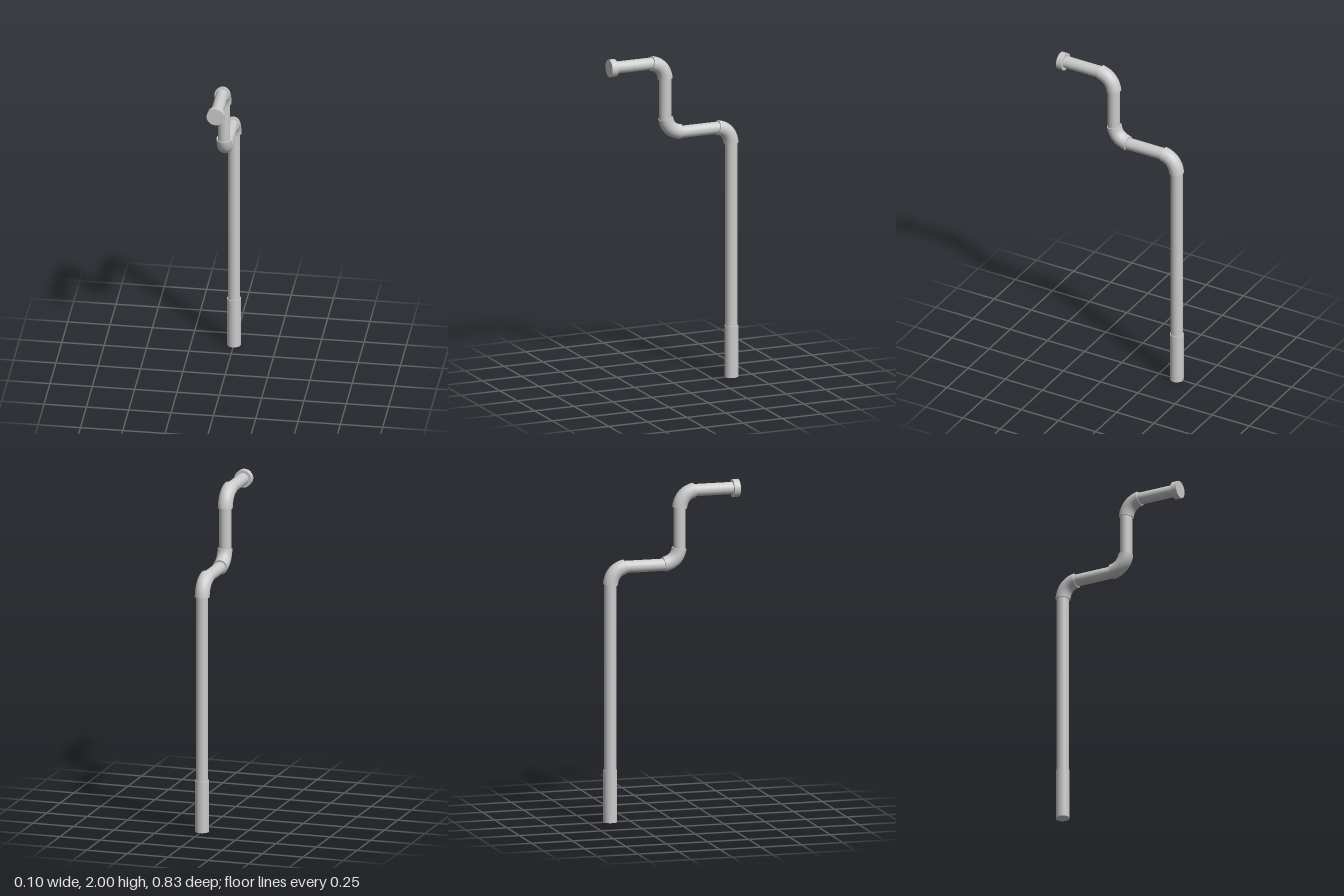
import * as THREE from 'three';

const SIDES = 32;
const PIPE = 0.036, ELBOW = 0.044, SLEEVE = 0.041, CAP = 0.0525;
const UP = new THREE.Vector3(0, 1, 0), FORWARD = new THREE.Vector3(0, 0, 1);
const at = ([y, z]) => new THREE.Vector3(0, y, z);

export function createModel() {
  const group = new THREE.Group();
  const material = new THREE.MeshStandardMaterial({ color: 0xcccccc });

  const add = (name, geometry, parent = group) => {
    const mesh = new THREE.Mesh(geometry, material);
    mesh.name = name;
    parent.add(mesh);
    return mesh;
  };

  // Straight round bar between two [y, z] points
  const rod = (name, from, to, radius) => {
    const a = at(from), b = at(to);
    const mesh = add(name, new THREE.CylinderGeometry(radius, radius, a.distanceTo(b), SIDES));
    mesh.position.copy(a).lerp(b, 0.5);
    mesh.quaternion.setFromUnitVectors(UP, b.sub(a).normalize());
  };

  // Thicker bent fitting, closed by a disc at each end
  const elbow = (name, from, corner, to) => {
    const part = new THREE.Group();
    part.name = name;
    group.add(part);
    const curve = new THREE.QuadraticBezierCurve3(at(from), at(corner), at(to));
    add('bend', new THREE.TubeGeometry(curve, 16, ELBOW, SIDES), part);
    for (const t of [0, 1]) {
      const disc = add('bendEnd', new THREE.CircleGeometry(ELBOW, SIDES), part);
      disc.position.copy(curve.getPoint(t));
      disc.quaternion.setFromUnitVectors(FORWARD, curve.getTangent(t).multiplyScalar(t ? 1 : -1));
    }
  };

  // Upright with its base sleeve
  rod('baseSleeve', [0, -0.37], [0.31, -0.37], SLEEVE);
  rod('upright', [0.3, -0.37], [1.43, -0.37], PIPE);

  // Stepped pipe run
  elbow('lowerElbow', [1.515, -0.281], [1.5, -0.36], [1.414, -0.369]);
  rod('lowerArm', [1.514, -0.3], [1.514, -0.025], PIPE);
  elbow('middleElbow', [1.608, 0.05], [1.53, 0.038], [1.517, -0.042]);
  rod('riser', [1.59, 0.053], [1.865, 0.053], PIPE);
  elbow('upperElbow', [1.949, 0.143], [1.933, 0.064], [1.849, 0.053]);
  rod('upperArm', [1.948, 0.125], [1.948, 0.385], PIPE);

  // End cap
  rod('endCap', [1.9475, 0.375], [1.9475, 0.413], CAP);

  return group;
}
